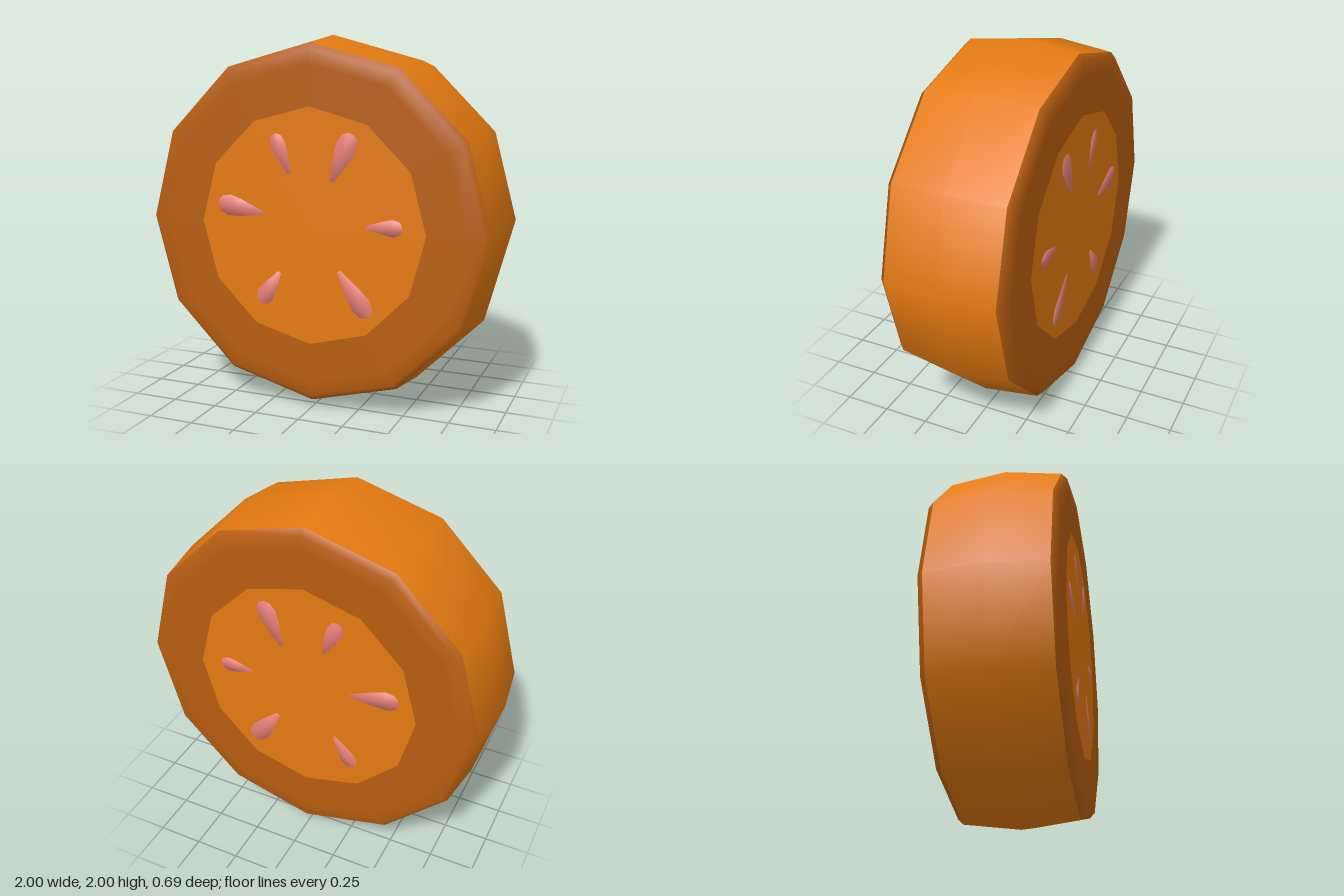
import * as THREE from 'three';

const SIDES = 12;
const FACE_Z = 0.335;

// [tip x, tip y, broad end x, broad end y, width], measured from the slice centre
const SEEDS = [
  [0.125, 0.25, 0.235, 0.5, 0.115],
  [0.315, 0.025, 0.51, 0.03, 0.09],
  [0.165, -0.22, 0.33, -0.45, 0.115],
  [-0.175, -0.255, -0.29, -0.43, 0.1],
  [-0.27, 0.06, -0.535, 0.105, 0.115],
  [-0.112, 0.28, -0.2, 0.485, 0.09],
];
// teardrop half outline: [distance along, share of half width]
const SEED_HALF = [[0, 0.2], [0.5, 0.8], [0.75, 1], [0.93, 0.75], [1, 0.3]];

function lathe(points) {
  const geo = new THREE.LatheGeometry(points.map(([r, h]) => new THREE.Vector2(r, h)), SIDES);
  return geo.rotateX(Math.PI / 2);
}

// Shallow domed teardrop with rounded normals
function seedGeometry([tx, ty, ex, ey, width]) {
  const along = new THREE.Vector2(ex - tx, ey - ty);
  const across = new THREE.Vector2(-along.y, along.x).normalize().multiplyScalar(width / 2);
  const outline = [
    ...SEED_HALF.map(([t, w]) => [t, -w]),
    ...SEED_HALF.slice().reverse(),
  ];
  const positions = [];
  const normals = [];
  const index = [];
  const add = (t, w, z, rim) => {
    positions.push(tx + along.x * t + across.x * w, ty + along.y * t + across.y * w, z);
    const dir = along.clone().normalize().multiplyScalar((t - 0.6) * rim)
      .add(across.clone().normalize().multiplyScalar(w * rim));
    const n = new THREE.Vector3(dir.x, dir.y, 1).normalize();
    normals.push(n.x, n.y, n.z);
  };
  add(0.65, 0, FACE_Z + 0.008, 0);
  outline.forEach(([t, w]) => add(t, w, FACE_Z + 0.002, 0.8));
  const count = outline.length;
  for (let i = 0; i < count; i++) index.push(0, 1 + i, 1 + ((i + 1) % count));
  const geo = new THREE.BufferGeometry();
  geo.setAttribute('position', new THREE.Float32BufferAttribute(positions, 3));
  geo.setAttribute('normal', new THREE.Float32BufferAttribute(normals, 3));
  geo.setIndex(index);
  return geo;
}

export function createModel() {
  const skinMat = new THREE.MeshStandardMaterial({ color: 0xe47a10 });
  skinMat.name = 'orange skin';
  const fleshMat = new THREE.MeshStandardMaterial({ color: 0xb85e10 });
  fleshMat.name = 'dark orange flesh';
  const coreMat = new THREE.MeshStandardMaterial({ color: 0xe47a10 });
  coreMat.name = 'orange core';
  const seedMat = new THREE.MeshStandardMaterial({ color: 0xe8807a, side: THREE.DoubleSide });
  seedMat.name = 'pink seed';

  const model = new THREE.Group();
  model.name = 'slice';
  const add = (parent, name, geo, mat) => {
    const mesh = new THREE.Mesh(geo, mat);
    mesh.name = name;
    parent.add(mesh);
    return mesh;
  };

  // Bulging outer band
  add(model, 'skin', lathe([[0.96, -0.305], [1, 0], [0.96, 0.305]]), skinMat).position.y = 1;

  // Cut faces: the back one repeats the front, with its seeds mirrored through the slice
  for (const side of [1, -1]) {
    const face = new THREE.Group();
    face.name = side > 0 ? 'frontFace' : 'backFace';
    face.position.y = 1;
    face.rotation.y = side > 0 ? 0 : Math.PI;
    model.add(face);

    add(face, 'fleshRing',
      lathe([[0.96, 0.305], [0.93, FACE_Z], [0.85, FACE_Z], [0.635, FACE_Z]]), fleshMat);
    add(face, 'core', new THREE.CircleGeometry(0.635, SIDES).translate(0, 0, FACE_Z), coreMat);
    SEEDS.forEach(([tx, ty, ex, ey, w], i) => {
      add(face, `seed${i + 1}`, seedGeometry([tx * side, ty, ex * side, ey, w]), seedMat);
    });
  }
  return model;
}
